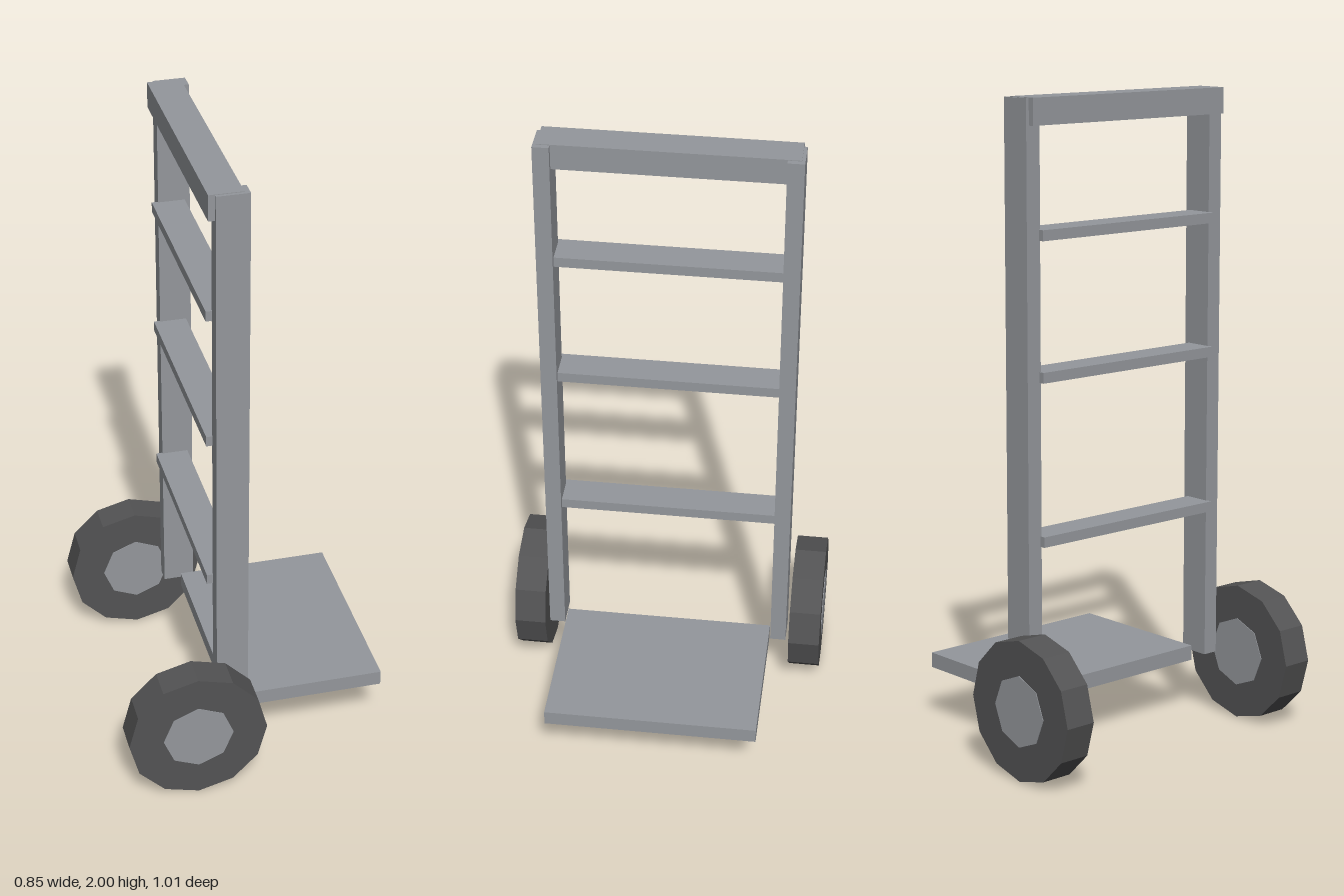
import * as THREE from 'three';

export function createModel() {
  const model = new THREE.Group();
  model.name = 'handTruck';

  const frameGrey = new THREE.MeshStandardMaterial({ color: 0x94979c });
  frameGrey.name = 'frame grey';
  const tyreGrey = new THREE.MeshStandardMaterial({ color: 0x535354 });
  tyreGrey.name = 'tyre dark grey';

  const add = (name, geometry, material, parent = model) => {
    const mesh = new THREE.Mesh(geometry, material);
    mesh.name = name;
    parent.add(mesh);
    return mesh;
  };

  // Box given by its lower and upper limits on each axis
  const box = (name, [x0, x1], [y0, y1], [z0, z1]) => {
    const geometry = new THREE.BoxGeometry(x1 - x0, y1 - y0, z1 - z0);
    geometry.translate((x0 + x1) / 2, (y0 + y1) / 2, (z0 + z1) / 2);
    return add(name, geometry, frameGrey);
  };

  // Faceted disc with its axle along z and a corner at the top
  const disc = (radius, width, sides) =>
    new THREE.CylinderGeometry(radius, radius, width, sides).toNonIndexed().rotateX(Math.PI / 2);

  const faceted = (geometry) => {
    geometry.computeVertexNormals();
    return geometry;
  };

  // Upright rails and wheels, mirrored across z
  for (const [side, s] of [['left', 1], ['right', -1]]) {
    const z = [0.34 * s, 0.39 * s].sort((a, b) => a - b);
    box(`${side}Rail`, [-0.125, -0.026], [0.2, 1.998], z);

    const wheel = new THREE.Group();
    wheel.name = `${side}Wheel`;
    wheel.position.set(-0.21, 0.217, 0.451 * s);
    model.add(wheel);
    add('tyre', faceted(disc(0.217, 0.1, 12)), tyreGrey, wheel);
    add('hub', faceted(disc(0.11, 0.104, 8)), frameGrey, wheel);
  }

  // Top handle laps over the backs of the rails
  box('topHandle', [-0.144, -0.042], [1.92, 2], [-0.38, 0.38]);

  // Rungs between the rails
  for (const y of [0.69, 1.185, 1.603]) {
    box('rung', [-0.144, -0.042], [y - 0.016, y + 0.016], [-0.345, 0.345]);
  }

  // Load plate at the foot
  box('loadPlate', [-0.07, 0.425], [0.17, 0.218], [-0.335, 0.335]);

  return model;
}
